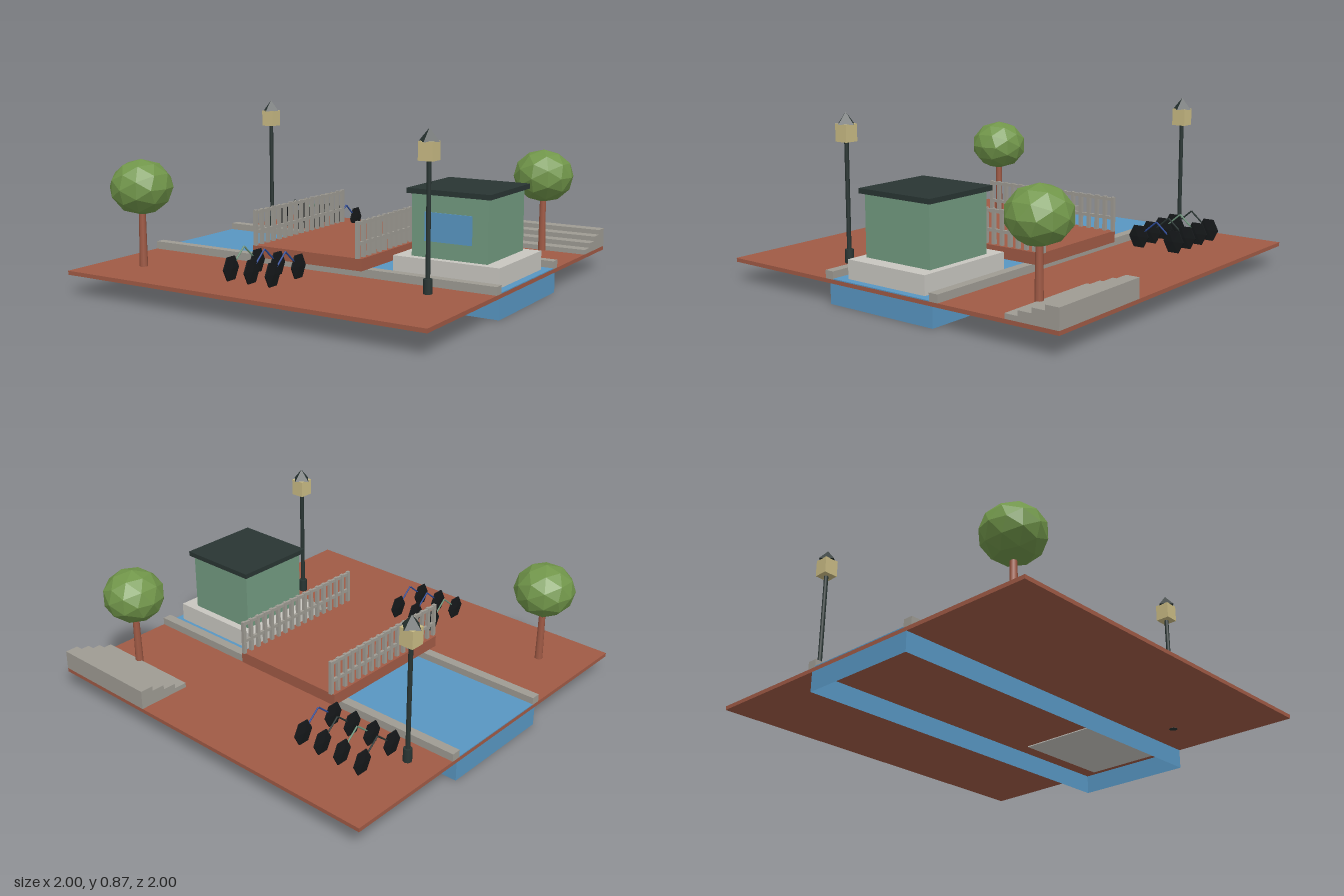
import * as THREE from 'three';

const mat = (name, color, extra = {}) => {
  const m = new THREE.MeshStandardMaterial({ color, ...extra });
  m.name = name;
  return m;
};

export function createModel() {
  const brick = mat('brick', 0xa05a45);
  const water = mat('water blue', 0x5896c2, { side: THREE.DoubleSide });
  const stone = mat('grey stone', 0x9e9b93);
  const pale = mat('pale stone', 0xc8c6c0);
  const wall = mat('wall green', 0x729a80);
  const dark = mat('dark green iron', 0x293533);
  const leaf = mat('leaf green', 0x71964a, { flatShading: true });
  const glow = mat('lantern cream', 0xc9bb84);
  const black = mat('tyre black', 0x15181a, { flatShading: true });
  const blue = mat('frame blue', 0x2c4c9c);

  const model = new THREE.Group();
  model.name = 'canalSquare';

  const add = (parent, name, geometry, material, x = 0, y = 0, z = 0) => {
    const m = new THREE.Mesh(geometry, material);
    m.name = name;
    m.position.set(x, y, z);
    parent.add(m);
    return m;
  };
  // box given by its limits on each axis
  const box = (parent, name, material, x0, x1, y0, y1, z0, z1) =>
    add(parent, name, new THREE.BoxGeometry(x1 - x0, y1 - y0, z1 - z0), material,
      (x0 + x1) / 2, (y0 + y1) / 2, (z0 + z1) / 2);
  const group = (name, x, y, z) => {
    const g = new THREE.Group();
    g.name = name;
    g.position.set(x, y, z);
    model.add(g);
    return g;
  };

  // paving, canal surface and the open-bottomed canal walls
  box(model, 'paving', brick, -1, 1, 0.1, 0.12, -1, 1);
  box(model, 'canalSurface', water, -1, 1, 0.12, 0.125, -0.3, 0.3);
  for (const s of [-1, 1]) {
    add(model, 'canalSideWall', new THREE.PlaneGeometry(2, 0.1), water, 0, 0.05, s * 0.32);
    add(model, 'canalEndWall', new THREE.PlaneGeometry(0.64, 0.1), water, s, 0.05, 0).rotation.y = Math.PI / 2;
    box(model, 'curb', stone, -1, 1, 0.12, 0.16, s * 0.325 - 0.025, s * 0.325 + 0.025);
  }

  // bridge with two railings
  box(model, 'bridgeDeck', brick, -0.32, 0.32, 0.16, 0.22, -0.4, 0.4);
  for (const s of [-1, 1]) {
    const rail = group('railing', s * 0.3, 0, 0);
    for (let i = 0; i <= 16; i++) {
      const z = -0.4 + i * 0.05;
      box(rail, 'railPost', stone, -0.009, 0.009, 0.22, 0.4, z - 0.009, z + 0.009);
    }
    for (const y of [0.29, 0.388]) box(rail, 'handRail', stone, -0.007, 0.007, y - 0.008, y + 0.008, -0.4, 0.4);
  }

  // floating house
  box(model, 'houseBase', pale, 0.4, 0.96, 0.095, 0.22, -0.24, 0.24);
  box(model, 'houseWalls', wall, 0.48, 0.88, 0.22, 0.525, -0.2, 0.2);
  box(model, 'houseRoof', dark, 0.46, 0.9, 0.525, 0.55, -0.22, 0.22);
  box(model, 'window', water, 0.55, 0.8, 0.3, 0.44, 0.199, 0.205);

  // steps rising toward the back
  for (let i = 0; i < 4; i++) {
    box(model, 'step', stone, 0.4, 1, 0.12 + i * 0.0245, 0.12 + (i + 1) * 0.0245, -1, -0.72 - i * 0.07);
  }

  // trees
  for (const [x, z] of [[-0.76, 0.72], [0.76, -0.72]]) {
    const tree = group('tree', x, 0, z);
    add(tree, 'trunk', new THREE.CylinderGeometry(0.016, 0.021, 0.33, 8), brick, 0, 0.285, 0);
    add(tree, 'crown', new THREE.IcosahedronGeometry(0.158, 1), leaf, 0, 0.52, 0).scale.y = 0.88;
  }

  // street lamps
  for (const [x, z] of [[-0.84, -0.48], [0.72, 0.48]]) {
    const lamp = group('streetLamp', x, 0, z);
    add(lamp, 'lampFoot', new THREE.CylinderGeometry(0.022, 0.022, 0.09, 8), dark, 0, 0.144, 0);
    add(lamp, 'lampPole', new THREE.CylinderGeometry(0.011, 0.011, 0.55, 8), dark, 0, 0.455, 0);
    box(lamp, 'lantern', glow, -0.037, 0.037, 0.725, 0.812, -0.037, 0.037);
    const cap = new THREE.ConeGeometry(0.053, 0.06, 4).toNonIndexed();
    cap.computeVertexNormals();
    add(lamp, 'lampCap', cap, dark, 0, 0.84, 0);
  }

  // bicycles: six-sided lens wheels and a bent frame
  const wheelGeo = new THREE.LatheGeometry(
    [[0, -0.009], [0.058, -0.003], [0.058, 0.003], [0, 0.009]].map(([a, b]) => new THREE.Vector2(a, b)), 6);
  wheelGeo.rotateZ(Math.PI / 2).scale(1, 1.12, 1);
  const bicycle = (x, z, paint) => {
    const bike = group('bicycle', x, 0.19, z);
    for (const s of [-1, 1]) {
      add(bike, 'wheel', wheelGeo, black, 0, 0, s * 0.103);
      const path = new THREE.LineCurve3(new THREE.Vector3(0, 0, s * 0.103), new THREE.Vector3(0, 0.088, 0));
      add(bike, 'frameBar', new THREE.TubeGeometry(path, 1, 0.0045, 5), paint);
    }
  };
  [dark, wall, dark, blue].forEach((p, i) => bicycle(-0.76 + i * 0.12, -0.6, p));
  [wall, blue, blue].forEach((p, i) => bicycle(-0.16 + i * 0.12, 0.68, p));

  return model;
}
